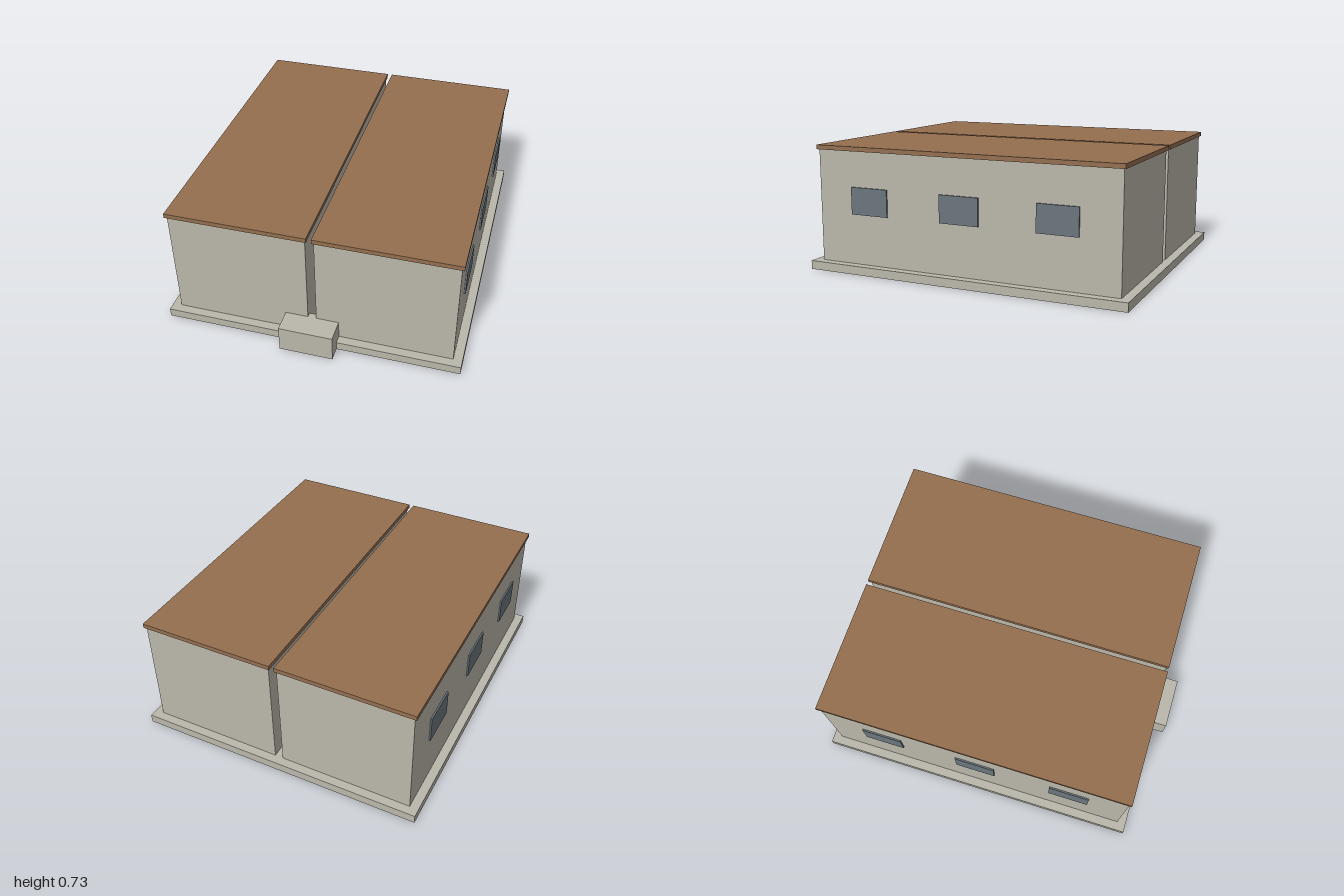
import * as THREE from 'three';

const plaster = new THREE.MeshStandardMaterial({ name: 'plaster', color: 0xbab7ab });
const roofBrown = new THREE.MeshStandardMaterial({ name: 'roofBrown', color: 0x956f50 });
const windowGrey = new THREE.MeshStandardMaterial({ name: 'windowGrey', color: 0x6b767d });

// Box given by its low and high limits on each axis
function block(name, material, [x0, x1], [y0, y1], [z0, z1]) {
  const mesh = new THREE.Mesh(new THREE.BoxGeometry(x1 - x0, y1 - y0, z1 - z0), material);
  mesh.position.set((x0 + x1) / 2, (y0 + y1) / 2, (z0 + z1) / 2);
  mesh.name = name;
  return mesh;
}

// Limits mirrored across x = 0 for the right side
const mirror = (side, a, b) => (side > 0 ? [a, b] : [-b, -a]);

export function createModel() {
  const model = new THREE.Group();
  model.name = 'twinBlockBuilding';

  // Foundation and front step
  model.add(block('foundation', plaster, [-0.853, 0.853], [0, 0.05], [-1, 0.92]));
  model.add(block('frontStep', plaster, [-0.154, 0.154], [0, 0.157], [0.84, 1]));

  // Two halves separated by a narrow open gap
  for (const side of [1, -1]) {
    const half = new THREE.Group();
    half.name = side > 0 ? 'leftHalf' : 'rightHalf';
    half.add(block('walls', plaster, mirror(side, 0.024, 0.802), [0.05, 0.702], [-0.949, 0.869]));
    half.add(block('roofSlab', roofBrown, mirror(side, 0.0145, 0.815), [0.702, 0.728], [-0.96, 0.88]));

    // Three windows along the outer wall
    for (const z of [0.535, -0.035, -0.605]) {
      half.add(block('window', windowGrey, mirror(side, 0.802, 0.811), [0.34, 0.497], [z - 0.118, z + 0.118]));
    }
    model.add(half);
  }
  return model;
}
